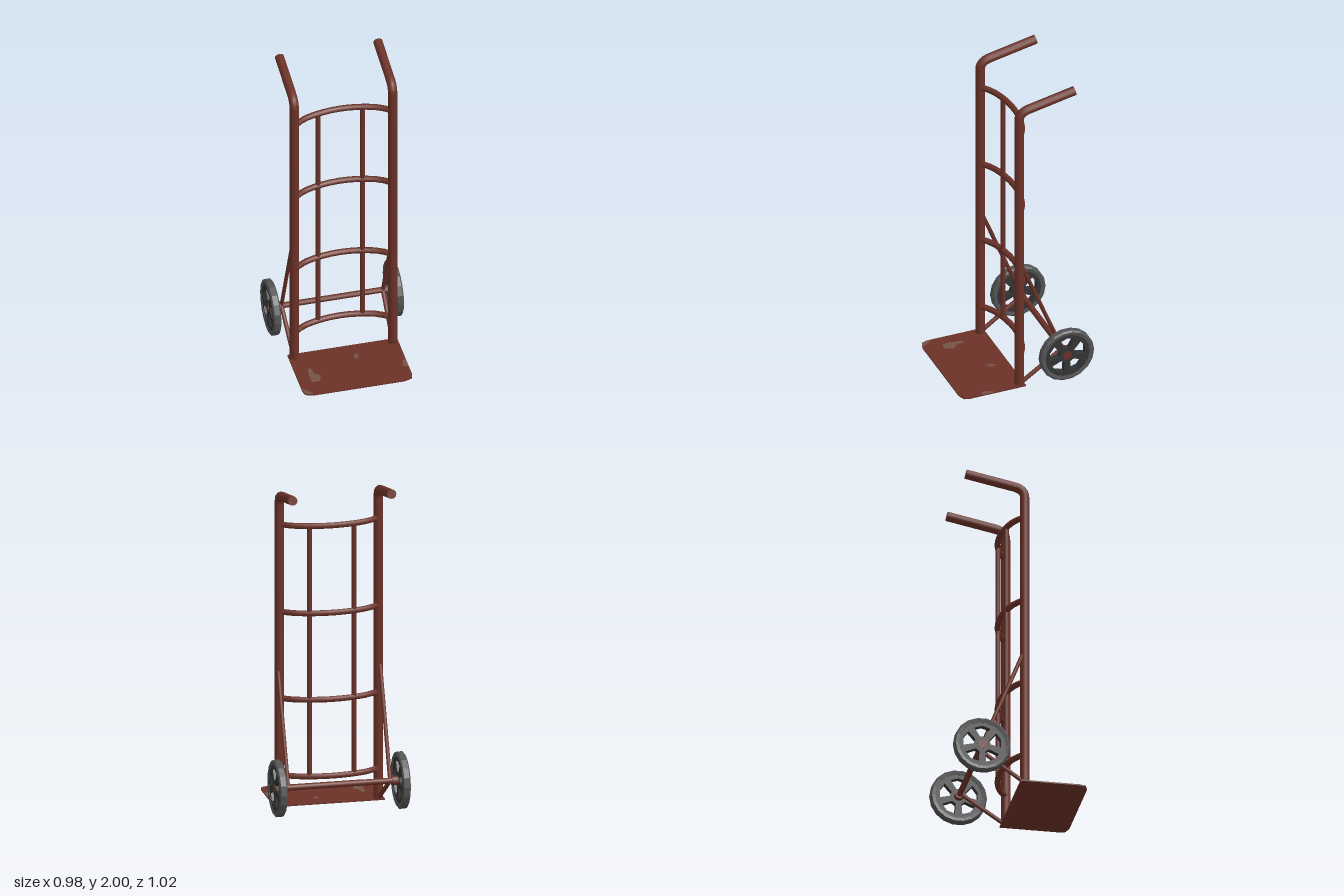
import * as THREE from 'three';

const paint = new THREE.MeshStandardMaterial({ color: 0x6b3228 });
paint.name = 'red brown paint';
const worn = new THREE.MeshStandardMaterial({ color: 0x765348 });
worn.name = 'worn paint';
const rubber = new THREE.MeshStandardMaterial({ color: 0x535353 });
rubber.name = 'grey rubber';
const rimDark = new THREE.MeshStandardMaterial({ color: 0x323332 });
rimDark.name = 'dark rim';

const V = (x, y, z) => new THREE.Vector3(x, y, z);

function add(parent, name, geometry, material) {
  const mesh = new THREE.Mesh(geometry, material);
  mesh.name = name;
  parent.add(mesh);
  return mesh;
}

// Straight round bar between two points
function rod(parent, name, a, b, r, sides = 10) {
  const mesh = add(parent, name, new THREE.CylinderGeometry(r, r, a.distanceTo(b), sides), paint);
  mesh.position.copy(a).add(b).multiplyScalar(0.5);
  mesh.quaternion.setFromUnitVectors(V(0, 1, 0), b.clone().sub(a).normalize());
  return mesh;
}

// Flat outline in x/z, laid down with its underside at y
function flatPlate(parent, name, points, y, thickness, material) {
  const shape = new THREE.Shape(points.map(([x, z]) => new THREE.Vector2(x, -z)));
  const geo = new THREE.ExtrudeGeometry(shape, { depth: thickness, bevelEnabled: false });
  geo.rotateX(-Math.PI / 2).translate(0, y, 0);
  return add(parent, name, geo, material);
}

function makeWheel() {
  const wheel = new THREE.Group();

  // Tyre with chamfered shoulders
  const profile = [[0.14, -0.02], [0.16, -0.024], [0.17, -0.016], [0.17, 0.016], [0.16, 0.024], [0.14, 0.02], [0.14, -0.02]]
    .map(([r, h]) => new THREE.Vector2(r, h));
  const tyre = new THREE.LatheGeometry(profile, 18).toNonIndexed();
  tyre.computeVertexNormals();
  tyre.rotateZ(Math.PI / 2);
  add(wheel, 'tyre', tyre, rubber);

  // Rim disc with five openings between the spokes
  const disc = new THREE.Shape();
  disc.absarc(0, 0, 0.145, 0, Math.PI * 2, false);
  for (let i = 0; i < 5; i++) {
    const mid = Math.PI / 2 + (i * Math.PI * 2) / 5;
    const corner = (r, t) => new THREE.Vector2(Math.cos(mid + t) * r, Math.sin(mid + t) * r);
    disc.holes.push(new THREE.Path([
      corner(0.05, -0.28), corner(0.05, 0.28), corner(0.113, 0.43), corner(0.118, 0), corner(0.113, -0.43),
    ]));
  }
  const rim = new THREE.ExtrudeGeometry(disc, { depth: 0.036, bevelEnabled: false, curveSegments: 18 });
  rim.translate(0, 0, -0.018).rotateY(Math.PI / 2);
  add(wheel, 'spokedRim', rim, rimDark);
  return wheel;
}

export function createModel() {
  const root = new THREE.Group();
  root.name = 'handTruck';
  const truck = new THREE.Group();
  truck.name = 'truckBody';
  truck.position.set(-0.055, 0, 0.05);
  truck.rotation.y = -25 * Math.PI / 180;
  root.add(truck);

  const axleY = 0.19, axleZ = -0.27;

  for (const s of [-1, 1]) {
    const side = new THREE.Group();
    side.name = s > 0 ? 'leftSide' : 'rightSide';
    truck.add(side);
    const x = s * 0.298;

    // Upright, bend and handle
    const bendLow = V(x, 1.85, 0), bendTop = V(x, 1.915, -0.065);
    rod(side, 'upright', V(x, 0, 0), bendLow, 0.028, 12);
    const bend = new THREE.QuadraticBezierCurve3(bendLow, V(x, 1.903, 0), bendTop);
    add(side, 'handleBend', new THREE.TubeGeometry(bend, 6, 0.028, 12), paint);
    rod(side, 'handle', bendTop, V(x, 1.972, -0.352), 0.028, 12);

    // Braces holding the axle
    const axleEnd = V(s * 0.307, axleY, axleZ);
    rod(side, 'upperBrace', V(s * 0.307, 0.84, -0.01), axleEnd, 0.012, 8);
    rod(side, 'lowerBrace', V(s * 0.3, 0.012, -0.01), axleEnd, 0.013, 8);

    // Wheel and hub
    const wheel = makeWheel();
    wheel.name = 'wheel';
    wheel.position.set(s * 0.371, axleY, axleZ);
    side.add(wheel);
    rod(side, 'hub', V(s * 0.315, axleY, axleZ), V(s * 0.392, axleY, axleZ), 0.028, 10);

    // Vertical slat
    rod(truck, 'slat', V(s * 0.135, 0.19, -0.078), V(s * 0.135, 1.725, -0.078), 0.015, 8);
  }

  rod(truck, 'axle', V(-0.32, axleY, axleZ), V(0.32, axleY, axleZ), 0.018);

  // Bowed cross bars
  for (const y of [0.19, 0.66, 1.19, 1.725]) {
    const bow = new THREE.CatmullRomCurve3([
      V(-0.295, y, 0), V(-0.225, y, -0.05), V(-0.075, y, -0.089),
      V(0.075, y, -0.089), V(0.225, y, -0.05), V(0.295, y, 0),
    ]);
    add(truck, 'crossBar', new THREE.TubeGeometry(bow, 12, 0.018, 8), paint);
  }

  // Toe plate with clipped front corners
  flatPlate(truck, 'toePlate', [
    [-0.332, -0.03], [-0.332, 0.322], [-0.322, 0.36], [-0.275, 0.376],
    [0.275, 0.376], [0.322, 0.36], [0.332, 0.322], [0.332, -0.03],
  ], 0, 0.008, paint);

  // Worn patches on the plate
  const patches = [
    [[-0.25, 0.13], [-0.26, 0.22], [-0.255, 0.26], [-0.21, 0.26], [-0.19, 0.21], [-0.225, 0.18], [-0.23, 0.13]],
    [[-0.332, 0.3], [-0.322, 0.36], [-0.28, 0.374], [-0.29, 0.345]],
    [[0.332, 0.17], [0.31, 0.19], [0.3, 0.24], [0.332, 0.25]],
    [[0.06, 0.05], [0.04, 0.08], [0.05, 0.11], [0.075, 0.08]],
  ];
  for (const p of patches) flatPlate(truck, 'wornPatch', p, 0.008, 0.001, worn);

  return root;
}
